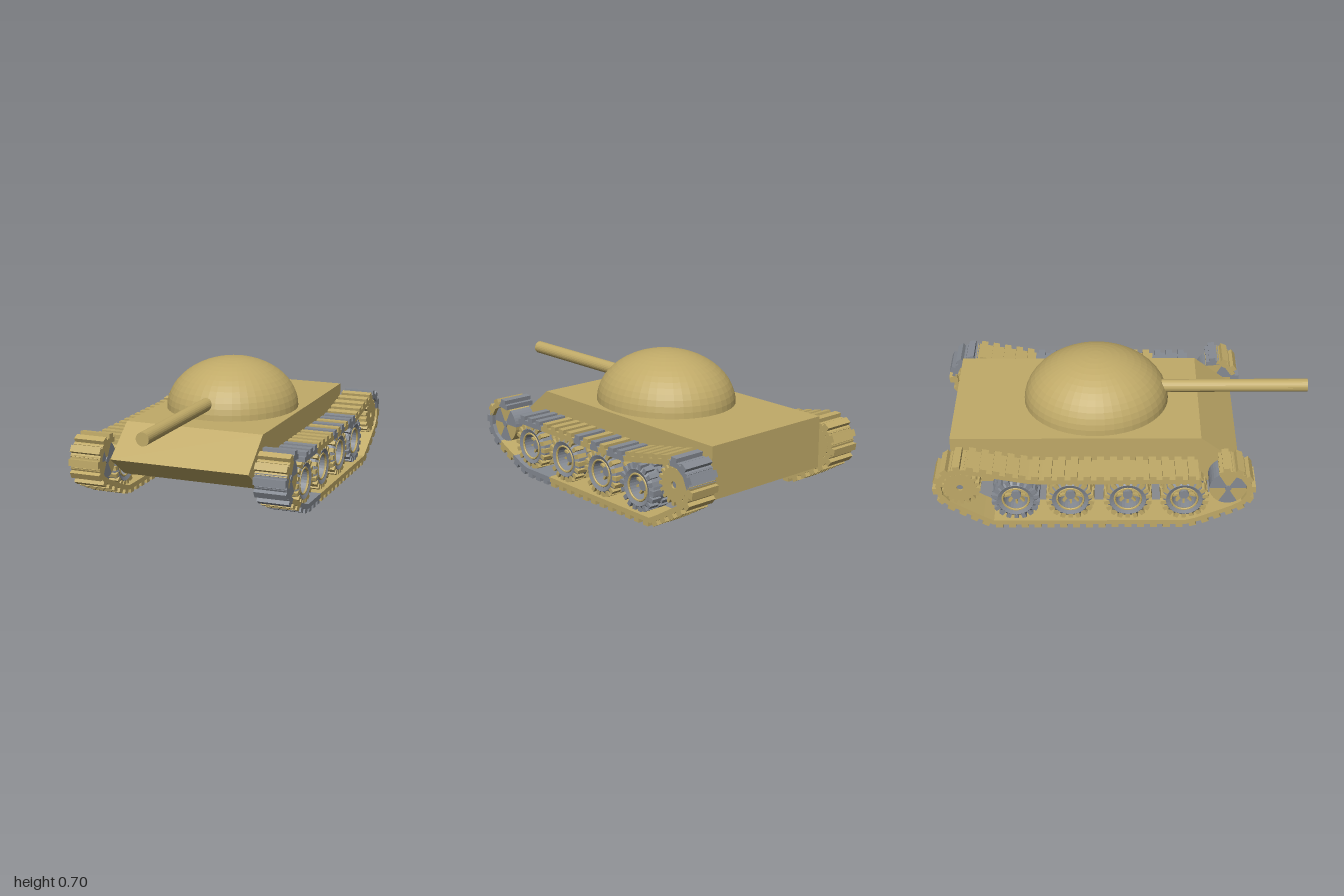
import * as THREE from 'three';
import { mergeGeometries } from 'three/addons/utils/BufferGeometryUtils.js';

const tan = new THREE.MeshStandardMaterial({ color: 0xc0aa68, flatShading: true });
tan.name = 'sandTan';
const grey = new THREE.MeshStandardMaterial({ color: 0x868b93, flatShading: true });
grey.name = 'steelGrey';

function add(parent, name, geometry, material, x = 0, y = 0, z = 0) {
  const mesh = new THREE.Mesh(geometry, material);
  mesh.name = name;
  mesh.position.set(x, y, z);
  parent.add(mesh);
  return mesh;
}

// Extrudes a (z, y) outline along x, centred on x = 0
function extrudeX(shape, width) {
  const g = new THREE.ExtrudeGeometry(shape, { depth: width, bevelEnabled: false, curveSegments: 12 });
  return g.translate(0, 0, -width / 2).rotateY(-Math.PI / 2);
}

const deg = Math.PI / 180;
const FRONT = [0.545, 0.245], REAR = [-0.843, 0.26];
const TRACK_WIDTH = 0.172, LINKS = 52;

// Which links of the left track are steel
function isGrey(z, y) {
  if (y > 0.28) return z < -0.8 || (z > -0.5 && z < -0.34) || (z > 0.2 && z < 0.55) || (z > -0.3 && z < -0.05 && Math.round(z * 14) % 2 === 0);
  if (z > 0.5) return y > 0.13;
  return z > 0.15 && z < 0.45;
}

// Track: one plate and one raised lug per link, laid along the loop
function buildTrack(mixed) {
  const path = new THREE.Path();
  path.moveTo(0.39, 0.315);
  path.absarc(...FRONT, 0.125, 111 * deg, -65 * deg, true);
  path.lineTo(0.35, 0.022);
  path.lineTo(-0.69, 0.022);
  path.absarc(...REAR, 0.125, 240 * deg, 78 * deg, true);
  path.lineTo(-0.47, 0.315);
  path.lineTo(0.39, 0.315);
  const tanParts = [], greyParts = [];
  for (let i = 0; i < LINKS; i++) {
    const a = path.getPoint(i / LINKS), b = path.getPoint((i + 1) / LINKS);
    const length = a.distanceTo(b), z = (a.x + b.x) / 2, y = (a.y + b.y) / 2;
    const plate = new THREE.BoxGeometry(TRACK_WIDTH, 0.026, length * 1.12).translate(0, -0.013, 0);
    const lug = new THREE.BoxGeometry(TRACK_WIDTH, 0.024, length * 0.55).translate(0, 0.01, 0);
    const link = mergeGeometries([plate, lug]);
    link.rotateX(-Math.atan2(b.y - a.y, b.x - a.x)).translate(0, y, z);
    (mixed && isGrey(z, y) ? greyParts : tanParts).push(link);
  }
  const track = new THREE.Group();
  track.name = 'track';
  add(track, 'tanLinks', mergeGeometries(tanParts), tan);
  if (greyParts.length) add(track, 'greyLinks', mergeGeometries(greyParts), grey);
  return track;
}

// Front idler: a drum of alternating sectors with a small hub
function buildIdler() {
  const idler = new THREE.Group();
  idler.name = 'frontIdler';
  for (let i = 0; i < 6; i++) {
    const sector = new THREE.CylinderGeometry(0.097, 0.097, 0.13, 6, 1, false, i * 60 * deg, 60 * deg);
    add(idler, 'idlerSector', sector.rotateZ(Math.PI / 2), i % 2 ? tan : grey);
  }
  add(idler, 'idlerHub', new THREE.CylinderGeometry(0.017, 0.017, 0.14, 12).rotateZ(Math.PI / 2), grey);
  idler.position.set(0, FRONT[1], FRONT[0]);
  return idler;
}

// Rear sprocket: toothed wheel with a bore
function buildSprocket() {
  const teeth = 18, points = [];
  for (let i = 0; i < teeth; i++) {
    for (const [f, r] of [[0, 0.084], [0.3, 0.084], [0.45, 0.106], [0.85, 0.106]]) {
      const a = (i + f) / teeth * Math.PI * 2;
      points.push(new THREE.Vector2(Math.cos(a) * r, Math.sin(a) * r));
    }
  }
  const shape = new THREE.Shape(points);
  shape.holes.push(new THREE.Path().absarc(0, 0, 0.018, 0, Math.PI * 2, true));
  const sprocket = new THREE.Group();
  sprocket.name = 'rearSprocket';
  add(sprocket, 'sprocketGear', extrudeX(shape, 0.15), tan);
  add(sprocket, 'sprocketAxle', new THREE.CylinderGeometry(0.018, 0.018, 0.13, 12).rotateZ(Math.PI / 2), grey);
  sprocket.position.set(0, REAR[1], REAR[0]);
  return sprocket;
}

// Road wheel: rounded tyre, tread blocks, open rim, spokes and hub
function buildRoadWheel(treadMaterial) {
  const wheel = new THREE.Group();
  wheel.name = 'roadWheel';
  const profile = [[0.07, -0.055], [0.095, -0.065], [0.112, -0.05], [0.116, 0], [0.112, 0.05], [0.095, 0.065], [0.07, 0.055], [0.066, 0], [0.07, -0.055]]
    .map(([r, h]) => new THREE.Vector2(r, h));
  add(wheel, 'tyre', new THREE.LatheGeometry(profile, 28).rotateZ(Math.PI / 2), grey);

  const blocks = [];
  for (let i = 0; i < 36; i++) {
    const side = i % 2 ? 1 : -1;
    const block = new THREE.BoxGeometry(0.056, 0.03, 0.022).translate(side * 0.036, 0.111, 0);
    blocks.push(block.rotateX(i * 10 * deg));
  }
  add(wheel, 'treadBlocks', mergeGeometries(blocks), treadMaterial);

  const spokes = [];
  for (let i = 0; i < 10; i++) {
    spokes.push(new THREE.BoxGeometry(0.02, 0.05, 0.011).translate(0, 0.044, 0).rotateX(i * 36 * deg));
  }
  add(wheel, 'spokes', mergeGeometries(spokes), tan);
  for (const side of [-1, 1]) {
    const ring = new THREE.TorusGeometry(0.069, 0.006, 6, 28).rotateY(Math.PI / 2);
    add(wheel, 'rimRing', ring, tan, side * 0.056);
  }
  add(wheel, 'hub', new THREE.CylinderGeometry(0.026, 0.026, 0.05, 16).rotateZ(Math.PI / 2), grey);
  return wheel;
}

function buildRunningGear(name, mixed) {
  const gear = new THREE.Group();
  gear.name = name;
  gear.add(buildTrack(mixed), buildIdler(), buildSprocket());
  [0.32, 0.025, -0.275, -0.56].forEach((z, i) => {
    const wheel = buildRoadWheel(i === 3 ? grey : tan);
    wheel.position.set(0, 0.168, z);
    gear.add(wheel);
  });
  return gear;
}

export function createModel() {
  const model = new THREE.Group();
  model.name = 'tank';

  // Hull with sloped nose
  const hull = new THREE.Shape([[-0.905, 0.152], [0.45, 0.152], [0.613, 0.27], [0.41, 0.43], [-0.905, 0.43]]
    .map(([z, y]) => new THREE.Vector2(z, y)));
  add(model, 'hull', extrudeX(hull, 0.77), tan, -0.007);

  // Domed turret
  const dome = new THREE.SphereGeometry(1, 48, 14, 0, Math.PI * 2, 0, Math.PI / 2).scale(0.361, 0.275, 0.39);
  add(model, 'turret', dome, tan, -0.009, 0.43, -0.143);

  // Gun barrel
  add(model, 'gunBarrel', new THREE.CylinderGeometry(0.035, 0.035, 0.95, 24).rotateX(Math.PI / 2), tan, -0.018, 0.51, 0.525);

  // Running gear on both sides
  const left = buildRunningGear('leftRunningGear', true);
  left.position.set(0.51, 0.01, -0.014);
  const right = buildRunningGear('rightRunningGear', false);
  right.position.set(-0.511, 0, 0);
  model.add(left, right);
  return model;
}
